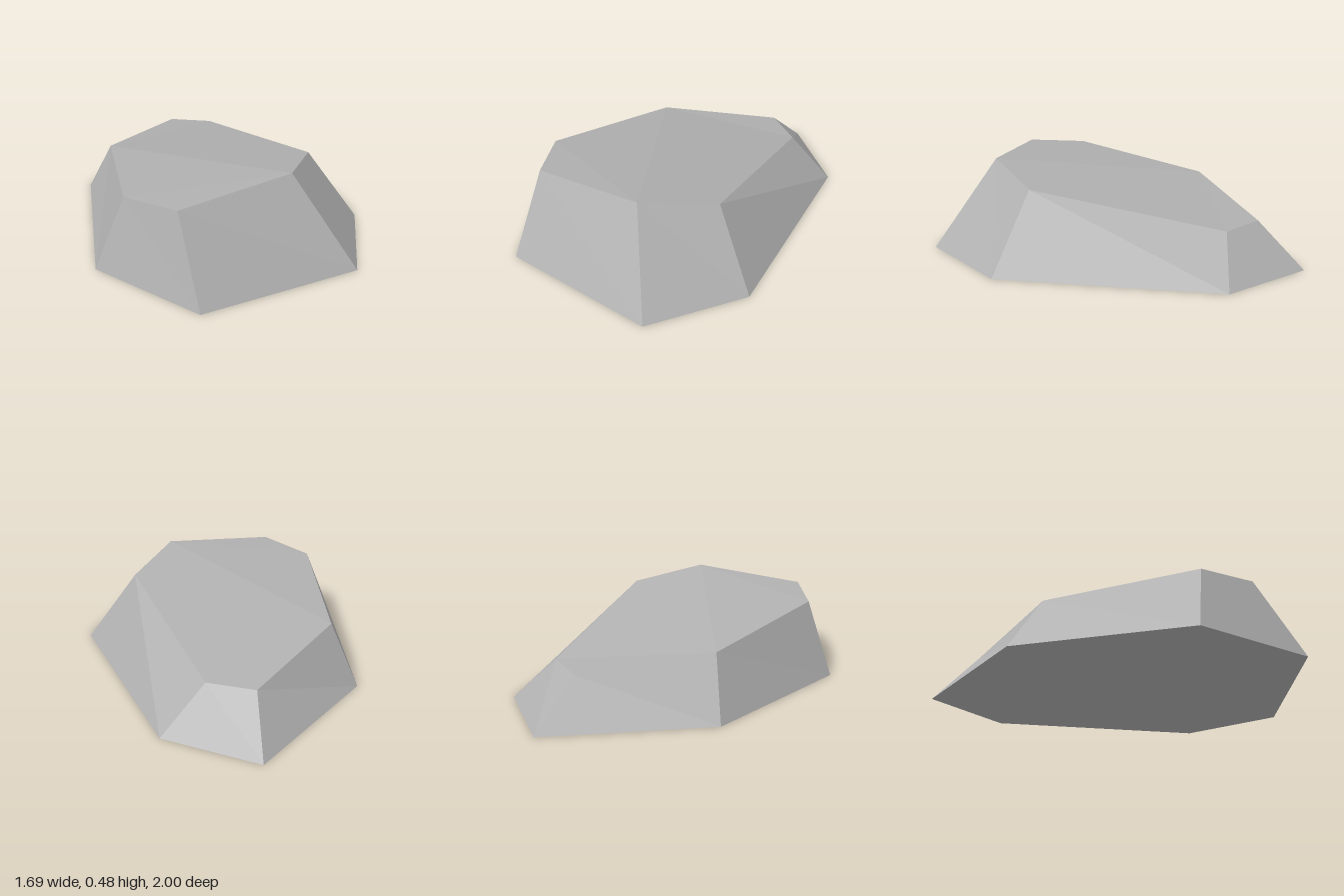
import * as THREE from 'three';

// Footprint and crown rings, listed clockwise as seen from above: [x, y, z]
const base = [
  [-0.59, 0, -1], [-0.06, 0, -0.975], [0.8, 0, -0.12], [0.845, 0, 0.46],
  [0.14, 0, 1], [-0.48, 0, 0.74], [-0.845, 0, -0.15],
];
const crown = [
  [-0.475, 0.235, -0.76], [-0.22, 0.235, -0.78], [0.515, 0.41, -0.045], [0.475, 0.482, 0.38],
  [-0.015, 0.435, 0.8], [-0.33, 0.405, 0.67], [-0.67, 0.315, -0.09],
];

function facetGeometry(triangles) {
  const geometry = new THREE.BufferGeometry();
  geometry.setAttribute('position', new THREE.Float32BufferAttribute(triangles.flat(2), 3));
  geometry.computeVertexNormals();
  return geometry;
}

export function createModel() {
  const group = new THREE.Group();
  group.name = 'rock';
  const stone = new THREE.MeshStandardMaterial({ color: 0xb0b0b0 });
  stone.name = 'grey stone';

  const add = (name, triangles) => {
    const mesh = new THREE.Mesh(facetGeometry(triangles), stone);
    mesh.name = name;
    group.add(mesh);
  };

  // Sloping sides between the two rings
  const sides = [];
  for (let i = 0; i < base.length; i++) {
    const j = (i + 1) % base.length;
    sides.push([base[i], crown[i], crown[j]], [base[i], crown[j], base[j]]);
  }
  add('sides', sides);

  // Gently faceted top
  const topFacets = [[0, 6, 1], [1, 6, 2], [2, 6, 3], [3, 6, 5], [3, 5, 4]];
  add('top', topFacets.map((facet) => facet.map((i) => crown[i])));

  // Flat underside
  const underside = [];
  for (let i = 1; i < base.length - 1; i++) underside.push([base[0], base[i], base[i + 1]]);
  add('underside', underside);

  return group;
}
